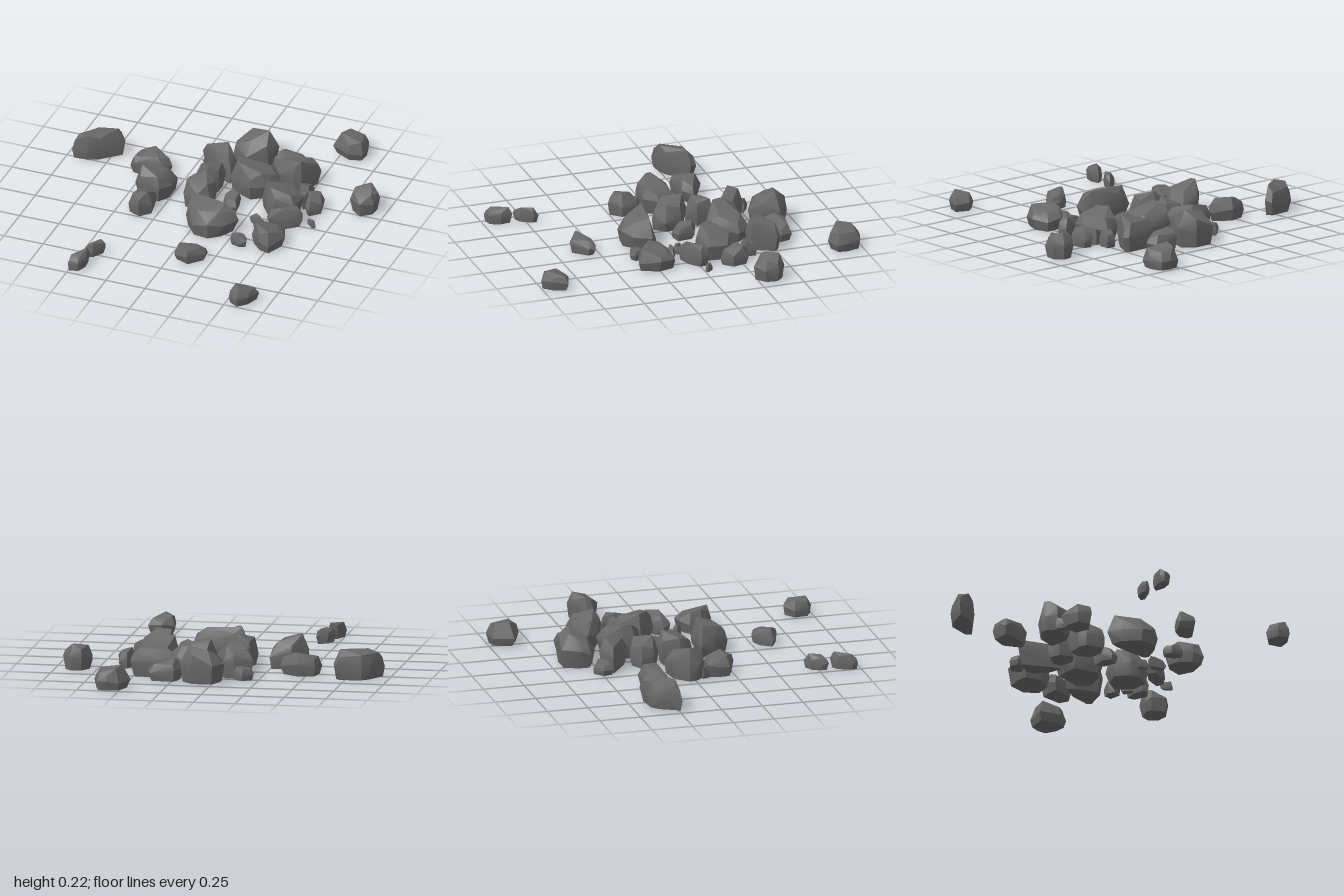
import * as THREE from 'three';
import { ConvexGeometry } from 'three/addons/geometries/ConvexGeometry.js';
import { toCreasedNormals } from 'three/addons/utils/BufferGeometryUtils.js';

// Seeded noise in 0..1
function seeded(seed) {
  let s = seed * 7919 + 17;
  return () => {
    s = (s * 16807) % 2147483647;
    return s / 2147483647;
  };
}

export function createModel() {
  const model = new THREE.Group();
  model.name = 'rubble';
  const stone = new THREE.MeshStandardMaterial({ color: 0x686868 });
  let count = 0;

  // A chipped stone: hull of a flat base, a wide waist and a tilted, smaller crown.
  // outline = x, z pairs seen from above; crown = size of the top facet
  function rock(parent, name, height, outline, crown = 0.58) {
    const rand = seeded(++count);
    rand();
    const ring = [];
    for (let i = 0; i < outline.length; i += 2) ring.push(new THREE.Vector2(outline[i], outline[i + 1]));
    const centre = ring.reduce((sum, p) => sum.add(p), new THREE.Vector2()).divideScalar(ring.length);
    const points = [];
    const add = (p, scale, y) => {
      const q = p.clone().sub(centre).multiplyScalar(scale);
      points.push(new THREE.Vector3(q.x, y, q.y));
    };
    const tilt = rand() * Math.PI * 2;
    ring.forEach((p, i) => {
      const side = Math.cos(p.clone().sub(centre).angle() - tilt);
      add(p, 0.8 + 0.12 * rand(), 0);
      add(p, 1, height * (0.3 + 0.25 * rand()));
      if (i % 2 === 0 || ring.length < 6) add(p, crown + 0.2 * rand(), height * (0.87 + 0.13 * side));
      else add(p, 0.88, height * (0.68 + 0.1 * side));
    });
    // Stretch so the highest corner reaches the full height
    const top = Math.max(...points.map((p) => p.y));
    points.forEach((p) => { p.y *= height / top; });
    const mesh = new THREE.Mesh(toCreasedNormals(new ConvexGeometry(points), 0.45), stone);
    mesh.name = name;
    mesh.position.set(centre.x, 0, centre.y);
    parent.add(mesh);
  }

  function group(name) {
    const g = new THREE.Group();
    g.name = name;
    model.add(g);
    return g;
  }

  // Big stones of the central heap
  const heap = group('centralHeap');
  rock(heap, 'backBoulder', 0.22, [-0.01, -0.7, 0.12, -0.7, 0.2, -0.63, 0.17, -0.53, 0.05, -0.48, -0.05, -0.53, -0.06, -0.6], 0.45);
  rock(heap, 'backSlab', 0.13, [0.2, -0.58, 0.23, -0.65, 0.38, -0.64, 0.4, -0.57, 0.33, -0.52, 0.2, -0.51]);
  rock(heap, 'backLeftWedge', 0.2, [0.23, -0.47, 0.35, -0.52, 0.5, -0.53, 0.52, -0.5, 0.45, -0.36, 0.4, -0.34, 0.28, -0.4]);
  rock(heap, 'backRightWedge', 0.19, [-0.21, -0.44, -0.1, -0.49, -0.04, -0.48, 0.02, -0.4, 0.03, -0.29, -0.04, -0.32, -0.15, -0.4]);
  rock(heap, 'centreBoulder', 0.2, [0.04, -0.31, 0.07, -0.4, 0.28, -0.41, 0.33, -0.33, 0.28, -0.21, 0.2, -0.16, 0.05, -0.23]);
  rock(heap, 'innerStone', 0.18, [-0.16, -0.25, -0.07, -0.3, 0, -0.28, 0, -0.18, -0.06, -0.12, -0.15, -0.17]);
  rock(heap, 'rightStone', 0.2, [-0.16, -0.01, -0.13, -0.12, -0.05, -0.13, 0.03, -0.07, 0.03, 0.03, -0.04, 0.09, -0.14, 0.04]);
  rock(heap, 'leftBoulder', 0.18, [0.29, -0.13, 0.34, -0.24, 0.44, -0.27, 0.54, -0.18, 0.52, -0.06, 0.41, -0.02, 0.35, -0.05]);
  rock(heap, 'leftSlab', 0.13, [0.39, 0.04, 0.47, -0.03, 0.58, -0.05, 0.6, 0, 0.52, 0.06, 0.42, 0.09]);
  rock(heap, 'frontBoulder', 0.19, [-0.07, 0.14, 0, 0.13, 0.24, 0.16, 0.27, 0.19, 0.21, 0.29, 0.13, 0.34, 0.03, 0.33, -0.05, 0.23]);
  rock(heap, 'frontLeftStone', 0.14, [0.39, 0.2, 0.44, 0.15, 0.55, 0.15, 0.59, 0.25, 0.53, 0.37, 0.46, 0.35, 0.39, 0.28]);

  // Small chips between them
  const chips = group('chips');
  rock(chips, 'backChip', 0.08, [-0.22, -0.5, -0.16, -0.55, -0.1, -0.51, -0.14, -0.45, -0.21, -0.44]);
  rock(chips, 'middleChip', 0.1, [0.08, -0.04, 0.11, -0.13, 0.17, -0.1, 0.18, 0, 0.11, 0.02]);
  rock(chips, 'leftBackChip', 0.1, [0.45, -0.32, 0.47, -0.37, 0.53, -0.37, 0.53, -0.29, 0.47, -0.28]);
  rock(chips, 'leftInnerChip', 0.1, [0.48, -0.25, 0.53, -0.27, 0.55, -0.22, 0.53, -0.18]);
  rock(chips, 'leftOuterChip', 0.12, [0.55, -0.22, 0.58, -0.29, 0.63, -0.28, 0.65, -0.18, 0.59, -0.12, 0.56, -0.14]);
  rock(chips, 'leftTinyChip', 0.05, [0.61, -0.05, 0.65, -0.05, 0.68, -0.01, 0.66, 0]);
  rock(chips, 'innerTinyChip', 0.06, [0.29, 0.06, 0.32, 0.03, 0.37, 0.07, 0.34, 0.09]);
  rock(chips, 'flatChip', 0.07, [0.33, 0.11, 0.38, 0.09, 0.44, 0.12, 0.43, 0.16, 0.36, 0.13]);
  rock(chips, 'frontChip', 0.07, [0.26, 0.29, 0.3, 0.25, 0.36, 0.29, 0.38, 0.34, 0.34, 0.36, 0.28, 0.34]);

  // Cluster to the right of the heap
  const cluster = group('rightCluster');
  rock(cluster, 'clusterBackStone', 0.14, [-0.58, -0.25, -0.56, -0.33, -0.45, -0.36, -0.34, -0.28, -0.38, -0.22, -0.55, -0.2, -0.58, -0.21]);
  rock(cluster, 'clusterBoulder', 0.2, [-0.46, -0.04, -0.38, -0.13, -0.25, -0.14, -0.24, -0.02, -0.29, 0.06, -0.42, 0.06, -0.46, 0.01]);
  rock(cluster, 'clusterFrontStone', 0.14, [-0.41, 0.08, -0.29, 0.09, -0.28, 0.19, -0.34, 0.26, -0.42, 0.22, -0.43, 0.15]);
  rock(cluster, 'clusterChip', 0.08, [-0.43, 0.05, -0.38, 0.04, -0.36, 0.09, -0.41, 0.1]);

  // Stones scattered around
  const scattered = group('scatteredStones');
  rock(scattered, 'farBackStone', 0.14, [0.5, -0.98, 0.57, -1, 0.63, -0.98, 0.66, -0.9, 0.65, -0.83, 0.57, -0.8, 0.45, -0.86]);
  rock(scattered, 'farRightBoulder', 0.18, [-0.95, -0.26, -0.9, -0.36, -0.85, -0.4, -0.7, -0.42, -0.68, -0.38, -0.8, -0.26, -0.87, -0.23, -0.96, -0.23], 0.7);
  rock(scattered, 'farLeftStone', 0.16, [0.78, -0.32, 0.83, -0.41, 0.9, -0.41, 0.95, -0.36, 0.94, -0.28, 0.87, -0.23, 0.79, -0.28]);
  rock(scattered, 'frontStone', 0.11, [0.03, 0.61, 0.08, 0.54, 0.15, 0.51, 0.21, 0.53, 0.21, 0.57, 0.13, 0.66, 0.04, 0.63]);
  rock(scattered, 'frontRightStone', 0.09, [-0.47, 0.77, -0.44, 0.71, -0.38, 0.68, -0.37, 0.71, -0.42, 0.79, -0.47, 0.81]);
  rock(scattered, 'farFrontRightStone', 0.1, [-0.51, 0.95, -0.47, 0.86, -0.42, 0.83, -0.41, 0.9, -0.44, 0.97, -0.5, 0.98]);
  rock(scattered, 'farFrontLeftStone', 0.11, [0.51, 0.88, 0.58, 0.83, 0.67, 0.86, 0.64, 0.95, 0.58, 1, 0.52, 0.97]);

  return model;
}
